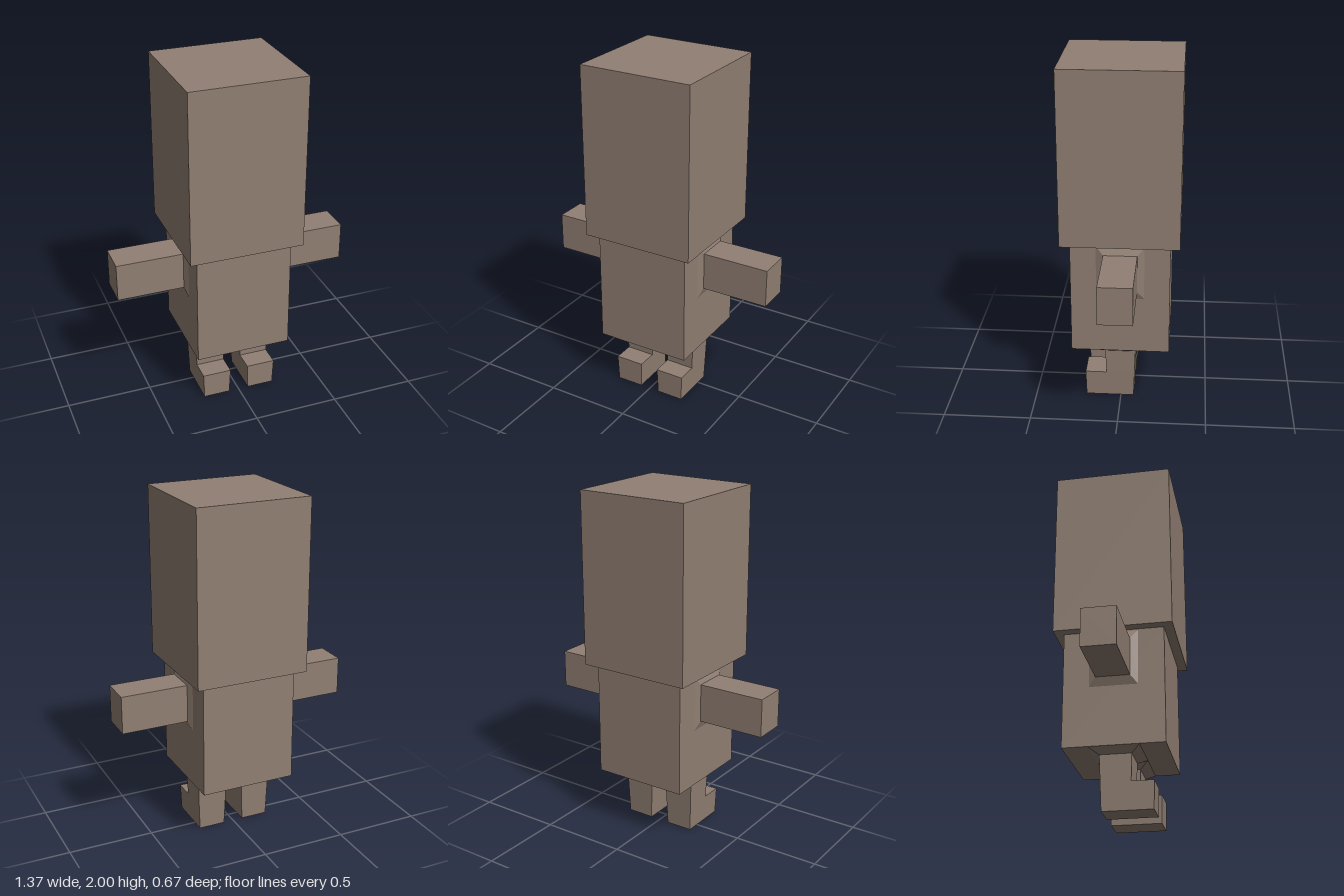
import * as THREE from 'three';

const material = new THREE.MeshStandardMaterial({ color: 0x917f73, flatShading: true });

// Solid through rectangular sections [y, x0, x1, z0, z1], listed bottom to top
function loft(sections) {
  const rings = sections.map(([y, x0, x1, z0, z1]) => [
    [x0, y, z1], [x1, y, z1], [x1, y, z0], [x0, y, z0],
  ]);
  const pos = [];
  const quad = (a, b, c, d) => pos.push(...a, ...b, ...c, ...a, ...c, ...d);
  for (let s = 0; s < rings.length - 1; s++) {
    const lo = rings[s], hi = rings[s + 1];
    for (let i = 0; i < 4; i++) {
      const j = (i + 1) % 4;
      quad(lo[i], lo[j], hi[j], hi[i]);
    }
  }
  const first = rings[0], last = rings[rings.length - 1];
  quad(first[3], first[2], first[1], first[0]);
  quad(last[0], last[1], last[2], last[3]);
  const geometry = new THREE.BufferGeometry();
  geometry.setAttribute('position', new THREE.Float32BufferAttribute(pos, 3));
  geometry.computeVertexNormals();
  return geometry;
}

// Mirrors the x range of each section for the other side
const sided = (sections, side) => sections.map(([y, a, b, z0, z1]) =>
  [y, Math.min(side * a, side * b), Math.max(side * a, side * b), z0, z1]);

export function createModel() {
  const model = new THREE.Group();
  const add = (name, geometry) => {
    const mesh = new THREE.Mesh(geometry, material);
    mesh.name = name;
    model.add(mesh);
    return mesh;
  };

  // Tall block head over a narrower torso
  add('head', new THREE.BoxGeometry(0.665, 0.995, 0.665)).position.y = 1.5025;
  add('torso', new THREE.BoxGeometry(0.56, 0.665, 0.56)).position.y = 0.67;

  for (const side of [1, -1]) {
    const label = side > 0 ? 'left' : 'right';

    // Arm with a flared shoulder, lofted upright and then laid out sideways
    const arm = loft(sided([
      [0.278, -1.0, -0.67, -0.14, 0.14],
      [0.297, -0.945, -0.725, -0.097, 0.093],
      [0.686, -0.945, -0.725, -0.097, 0.093],
    ], side));
    arm.rotateZ(-side * Math.PI / 2);
    add(label + 'Arm', arm);

    // Leg with a flared hip
    add(label + 'Leg', loft(sided([
      [0.155, 0.054, 0.224, -0.08, 0.085],
      [0.305, 0.049, 0.229, -0.085, 0.09],
      [0.338, 0, 0.28, -0.14, 0.14],
    ], side)));

    // Foot reaching forward
    add(label + 'Foot', loft(sided([
      [0, 0.06, 0.218, -0.075, 0.203],
      [0.155, 0.054, 0.224, -0.08, 0.207],
    ], side)));
  }
  return model;
}
